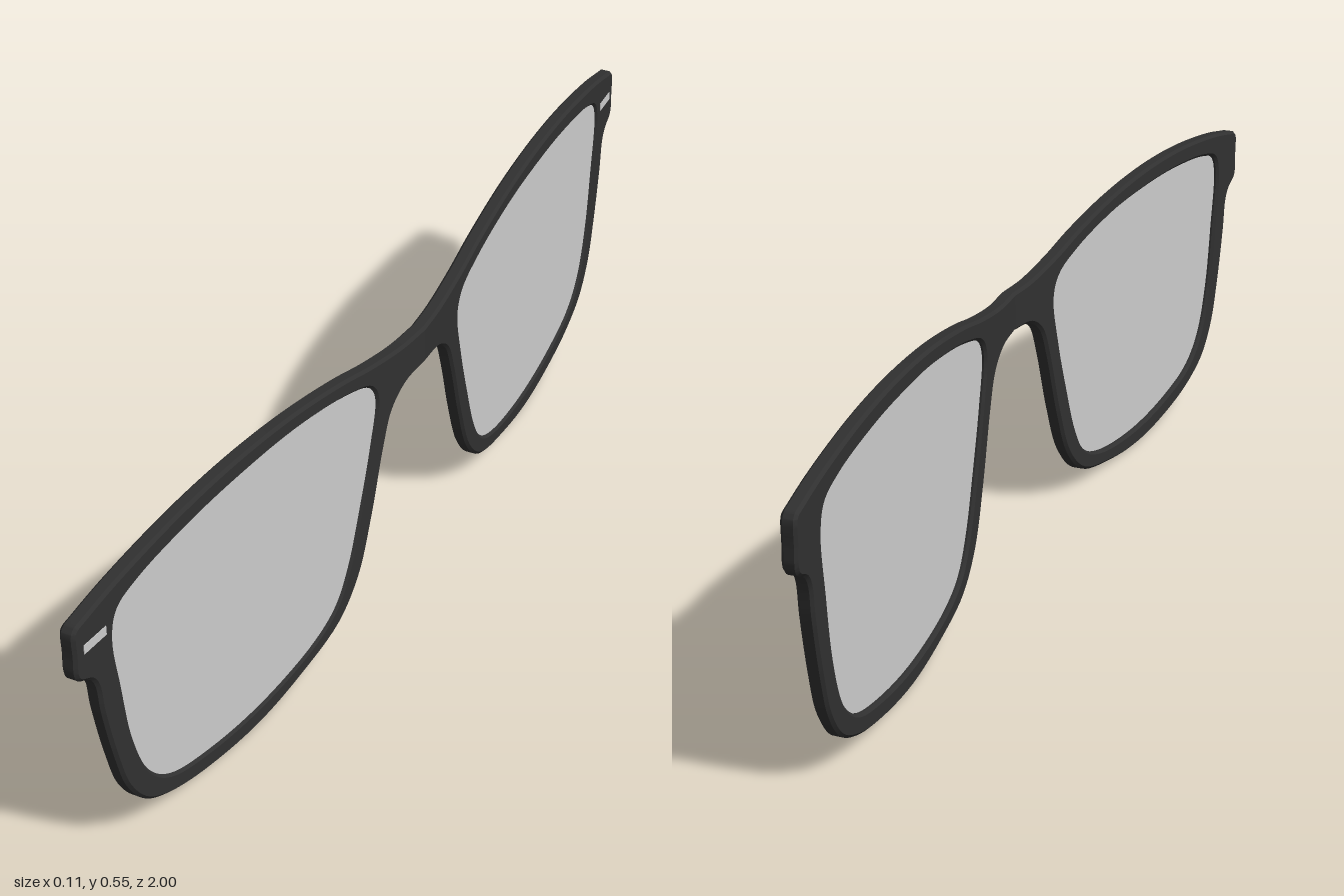
import * as THREE from 'three';
import { toCreasedNormals } from 'three/addons/utils/BufferGeometryUtils.js';

const THICK = 0.027, APEX = 0.04;

// Half outline of the frame (distance from the bridge, height), bridge top round to bridge underside
const OUTER = [
  [0, 0.49], [0.07, 0.491], [0.17, 0.505], [0.265, 0.525], [0.41, 0.546], [0.57, 0.555], [0.73, 0.55],
  [0.89, 0.531], [0.97, 0.515], [0.993, 0.509], [1, 0.5], [1, 0.46], [1, 0.425], [0.993, 0.412],
  [0.965, 0.395], [0.953, 0.375], [0.945, 0.32], [0.92, 0.21], [0.895, 0.135], [0.85, 0.076],
  [0.78, 0.04], [0.68, 0.016], [0.54, 0.003], [0.41, 0.015], [0.285, 0.046], [0.22, 0.105],
  [0.175, 0.205], [0.135, 0.325], [0.108, 0.383], [0.065, 0.412], [0, 0.42],
];

// Lens opening
const OPENING = [
  [0.907, 0.44], [0.893, 0.48], [0.84, 0.5], [0.7, 0.517], [0.57, 0.521], [0.41, 0.515], [0.25, 0.49],
  [0.175, 0.463], [0.157, 0.43], [0.175, 0.345], [0.21, 0.24], [0.25, 0.14], [0.29, 0.085],
  [0.355, 0.055], [0.515, 0.037], [0.675, 0.05], [0.785, 0.08], [0.84, 0.13], [0.875, 0.22], [0.895, 0.34],
];

// Smooth curve through a few points
function smooth(points, closed, count) {
  const curve = new THREE.CatmullRomCurve3(points.map(([u, v]) => new THREE.Vector3(u, v, 0)), closed, 'centripetal');
  const out = curve.getPoints(count).map(p => new THREE.Vector2(p.x, p.y));
  if (closed) out.pop();
  return out;
}

// Extrude a half-outline, then lay it along one swept-back wing (side +1 or -1)
function wing(shape, side, centre, depth, bevel, bevelOffset) {
  const geo = new THREE.ExtrudeGeometry(shape, {
    depth: depth - 2 * bevel, bevelEnabled: bevel > 0, bevelThickness: bevel,
    bevelSize: bevel, bevelOffset, bevelSegments: 1, steps: 1,
  });
  const slope = side > 0 ? 0.07 : 0.082;
  const p = geo.attributes.position;
  for (let i = 0; i < p.count; i++) {
    // keep the bevel off the seam in the middle of the bridge
    const u = p.getX(i) < 0.0065 ? 0 : p.getX(i);
    const d = p.getZ(i) + bevel - depth / 2 + centre;
    p.setXYZ(i, APEX - slope * u + d, p.getY(i), side * u);
  }
  // the +z wing is a reflection, so turn its triangles round
  if (side > 0) {
    const a = new THREE.Vector3(), b = new THREE.Vector3();
    for (let i = 0; i < p.count; i += 3) {
      a.fromBufferAttribute(p, i + 1);
      b.fromBufferAttribute(p, i + 2);
      p.setXYZ(i + 1, b.x, b.y, b.z);
      p.setXYZ(i + 2, a.x, a.y, a.z);
    }
  }
  geo.deleteAttribute('uv');
  geo.computeVertexNormals();
  return toCreasedNormals(geo, 0.5);
}

export function createModel() {
  const group = new THREE.Group();
  const black = new THREE.MeshStandardMaterial({ color: 0x303030 });
  const grey = new THREE.MeshStandardMaterial({ color: 0xcccccc });

  const opening = smooth(OPENING, true, 120);
  const frameShape = new THREE.Shape(smooth(OUTER, false, 180));
  frameShape.holes.push(new THREE.Path(opening));
  const lensShape = new THREE.Shape(opening);
  const inlayShape = new THREE.Shape([[0.925, 0.455], [0.98, 0.455], [0.98, 0.471], [0.925, 0.471]]
    .map(([u, v]) => new THREE.Vector2(u, v)));

  const add = (name, geo, mat) => {
    const mesh = new THREE.Mesh(geo, mat);
    mesh.name = name;
    group.add(mesh);
  };

  for (const side of [1, -1]) {
    const label = side > 0 ? 'Left' : 'Right';
    // Bevelled rim with its half of the bridge
    add('frame' + label, wing(frameShape, side, 0, THICK, 0.005, -0.005), black);
    // Lens, its edge seated in the rim
    add('lens' + label, wing(lensShape, side, 0.002, 0.014, 0.004, 0), grey);
    // Metal inlay on the outer face of the end piece
    add('inlay' + label, wing(inlayShape, side, THICK / 2 - 0.001, 0.004, 0, 0), grey);
  }
  return group;
}
